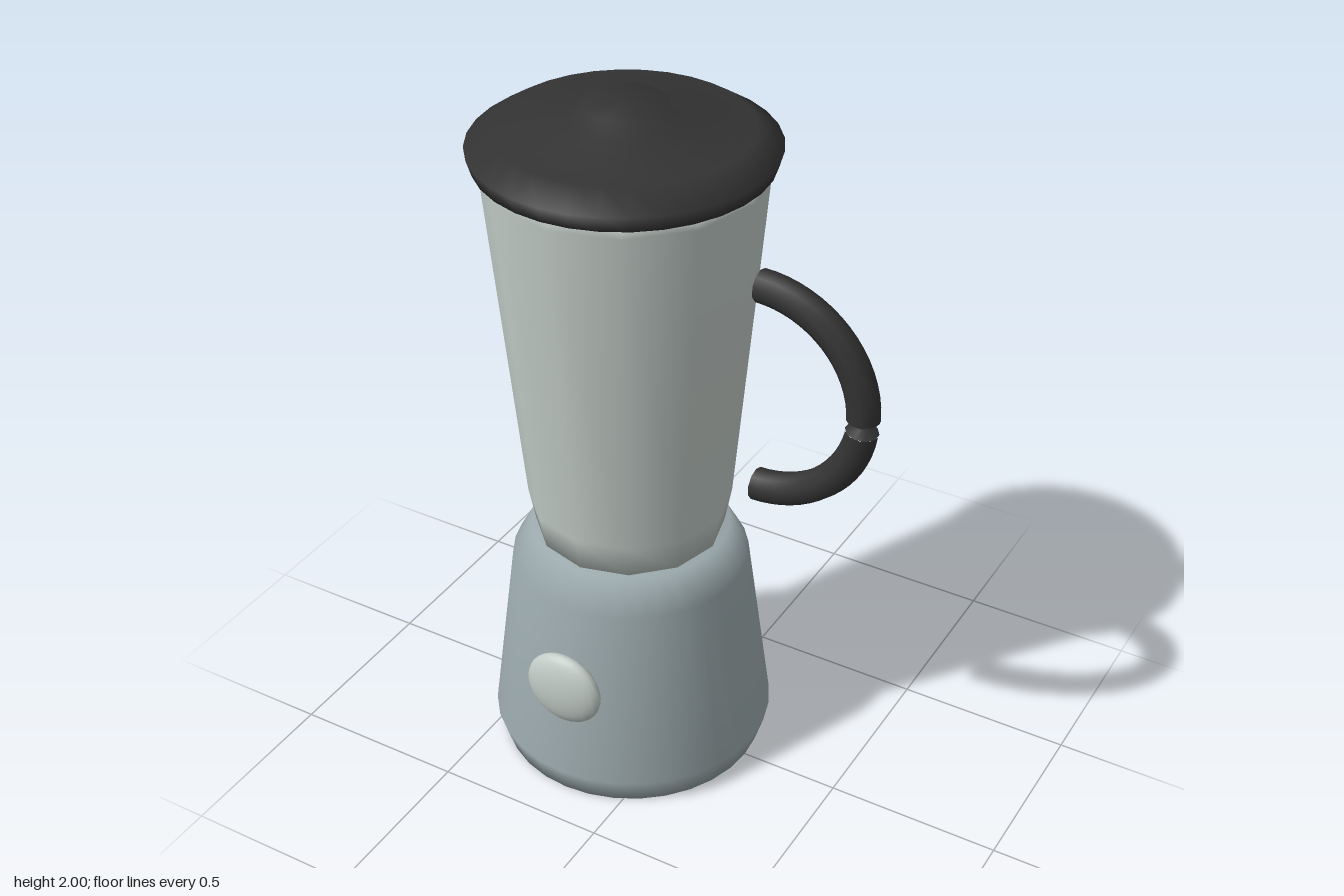
import * as THREE from 'three';

const AXIS_X = -0.17; // vertical axis of the body

function material(name, color) {
  const m = new THREE.MeshStandardMaterial({ color });
  m.name = name;
  return m;
}

// Smooth turned part from [radius, height] pairs, listed bottom to top
function turned(name, profile, sides, mat) {
  const points = profile.map(([r, y]) => new THREE.Vector2(r, y));
  const mesh = new THREE.Mesh(new THREE.LatheGeometry(points, sides), mat);
  mesh.name = name;
  mesh.position.x = AXIS_X;
  return mesh;
}

// One arm of the handle: a bent tube, a flat inner cap and a tapered outer tip
function handleArm(name, side, joint, mat) {
  const R = 0.305, r = 0.045, tip = 0.016;
  const arm = new THREE.Group();
  arm.name = name;
  const bend = new THREE.Mesh(new THREE.TorusGeometry(R, r, 10, 16, Math.PI / 2 - joint), mat);
  bend.name = 'handleBend';
  bend.rotation.z = side > 0 ? joint : -Math.PI / 2;
  const cap = new THREE.Mesh(new THREE.CircleGeometry(r, 10), mat);
  cap.name = 'handleEndCap';
  cap.rotation.y = -Math.PI / 2;
  cap.position.y = side * R;
  const end = new THREE.Mesh(new THREE.CylinderGeometry(r, 0.018, tip, 10), mat);
  end.name = 'handleTip';
  const a = side * joint;
  end.position.set(
    R * Math.cos(a) + side * Math.sin(a) * tip / 2,
    R * Math.sin(a) - side * Math.cos(a) * tip / 2, 0);
  end.rotation.z = side > 0 ? a : a + Math.PI;
  arm.add(bend, cap, end);
  return arm;
}

export function createModel() {
  const grey = material('blueGreyPlastic', 0x9caaad);
  const pale = material('paleGlass', 0xc2ccc7);
  const dark = material('darkPlastic', 0x333333);

  const model = new THREE.Group();
  model.name = 'blender';

  // Motor base
  model.add(turned('motorBase', [
    [0, 0], [0.38, 0], [0.405, 0.08], [0.335, 0.62], [0.28, 0.72], [0, 0.72],
  ], 32, grey));

  // Faceted jar
  model.add(turned('jar', [
    [0, 0.715], [0.265, 0.715], [0.285, 0.82], [0.375, 1.815], [0.35, 1.838], [0, 1.838],
  ], 12, pale));

  // Lid with its grip
  model.add(turned('lid', [
    [0, 1.846], [0.392, 1.846], [0.405, 1.89], [0.335, 1.935],
    [0.135, 1.945], [0.112, 2], [0, 2],
  ], 32, dark));

  // Control dial
  const dial = new THREE.Mesh(new THREE.SphereGeometry(1, 24, 16), pale);
  dial.name = 'controlDial';
  dial.scale.set(0.117, 0.113, 0.042);
  dial.position.set(AXIS_X, 0.365, 0.367);
  model.add(dial);

  // Handle in two arms that meet at a notch
  const handle = new THREE.Group();
  handle.name = 'handle';
  handle.position.set(0.225, 1.285, 0);
  handle.add(handleArm('upperArm', 1, 0, dark), handleArm('lowerArm', -1, 0.12, dark));
  model.add(handle);

  return model;
}
